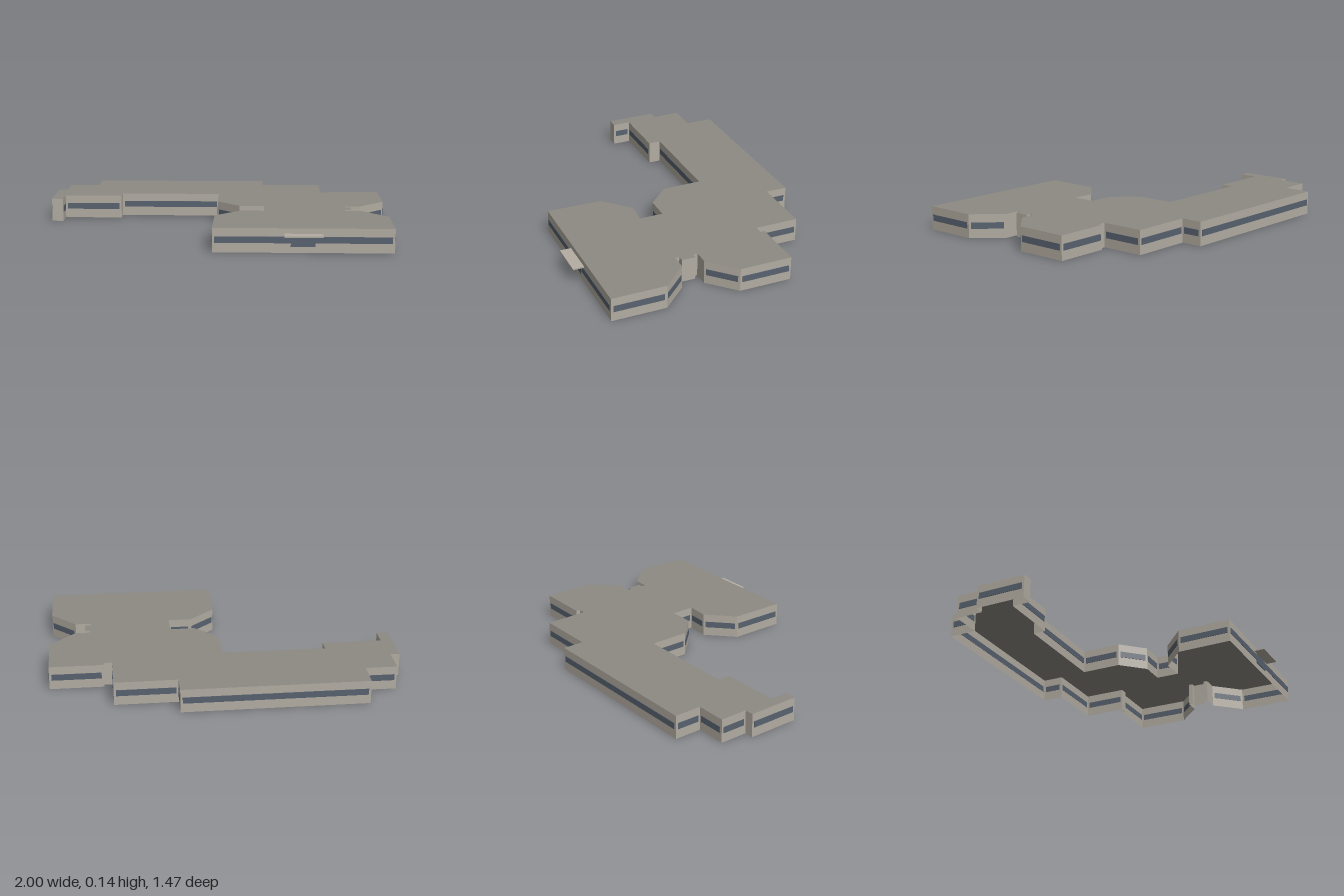
import * as THREE from 'three';

const HEIGHT = 0.137;

// Footprint corners as [x, z], clockwise seen from above
const FOOTPRINT = [
  // west end and stepped rear
  [-1, -0.115], [-1, -0.413], [-0.947, -0.413], [-0.947, -0.575], [-0.767, -0.575],
  [-0.767, -0.735], [0.285, -0.735], [0.285, -0.61], [0.642, -0.61], [0.642, -0.357],
  // east wing and neck
  [0.69, -0.357], [0.69, -0.382], [0.998, -0.382], [0.998, -0.077], [0.848, 0.067],
  [0.763, 0.067], [0.763, 0.092], [0.792, 0.092], [0.792, 0.173], [0.757, 0.173], [0.757, 0.197],
  // front block
  [0.848, 0.197], [0.992, 0.347], [0.992, 0.662], [-0.004, 0.662], [0.002, 0.338],
  [0.155, 0.197], [0.285, 0.205],
  // west side of the neck and inner court
  [0.285, 0.067], [0.14, 0.067], [0.01, -0.063], [0.01, -0.295], [-0.588, -0.295],
  [-0.588, -0.222], [-0.933, -0.222], [-0.933, -0.115],
];

export function createModel() {
  const building = new THREE.Group();
  building.name = 'building';

  const material = (name, color, side = THREE.FrontSide) => {
    const m = new THREE.MeshStandardMaterial({ color, side });
    m.name = name;
    return m;
  };
  const wallMat = material('warm grey wall', 0xb3ada2, THREE.DoubleSide);
  const roofMat = material('grey roof', 0x8c8a83, THREE.DoubleSide);
  const glassMat = material('blue grey glass', 0x58626f);

  const add = (name, geometry, mat, x, y, z, angle = 0) => {
    const mesh = new THREE.Mesh(geometry, mat);
    mesh.name = name;
    mesh.position.set(x, y, z);
    mesh.rotation.y = angle;
    building.add(mesh);
  };

  // Flat roof; the shell is open underneath
  const outline = new THREE.Shape(FOOTPRINT.map(([x, z]) => new THREE.Vector2(x, -z)));
  add('roof', new THREE.ShapeGeometry(outline).rotateX(-Math.PI / 2), roofMat, 0, HEIGHT, 0);

  // One wall per footprint edge, with a window band on the longer ones
  FOOTPRINT.forEach(([x0, z0], i) => {
    const [x1, z1] = FOOTPRINT[(i + 1) % FOOTPRINT.length];
    const length = Math.hypot(x1 - x0, z1 - z0);
    const nx = (z1 - z0) / length, nz = (x0 - x1) / length;
    const angle = Math.atan2(nx, nz);
    const x = (x0 + x1) / 2, z = (z0 + z1) / 2;
    add('wall', new THREE.PlaneGeometry(length, HEIGHT), wallMat, x, HEIGHT / 2, z, angle);
    if (length > 0.1) {
      add('windowBand', new THREE.BoxGeometry(length - 0.026, 0.036, 0.004), glassMat,
        x + nx * 0.001, 0.072, z + nz * 0.001, angle);
    }
  });

  // Front entrance and its thin canopy
  add('entranceDoor', new THREE.BoxGeometry(0.135, 0.057, 0.006), glassMat, 0.493, 0.063, 0.664);
  add('entranceCanopy', new THREE.BoxGeometry(0.21, 0.008, 0.065), wallMat, 0.495, 0.103, 0.695);

  return building;
}
